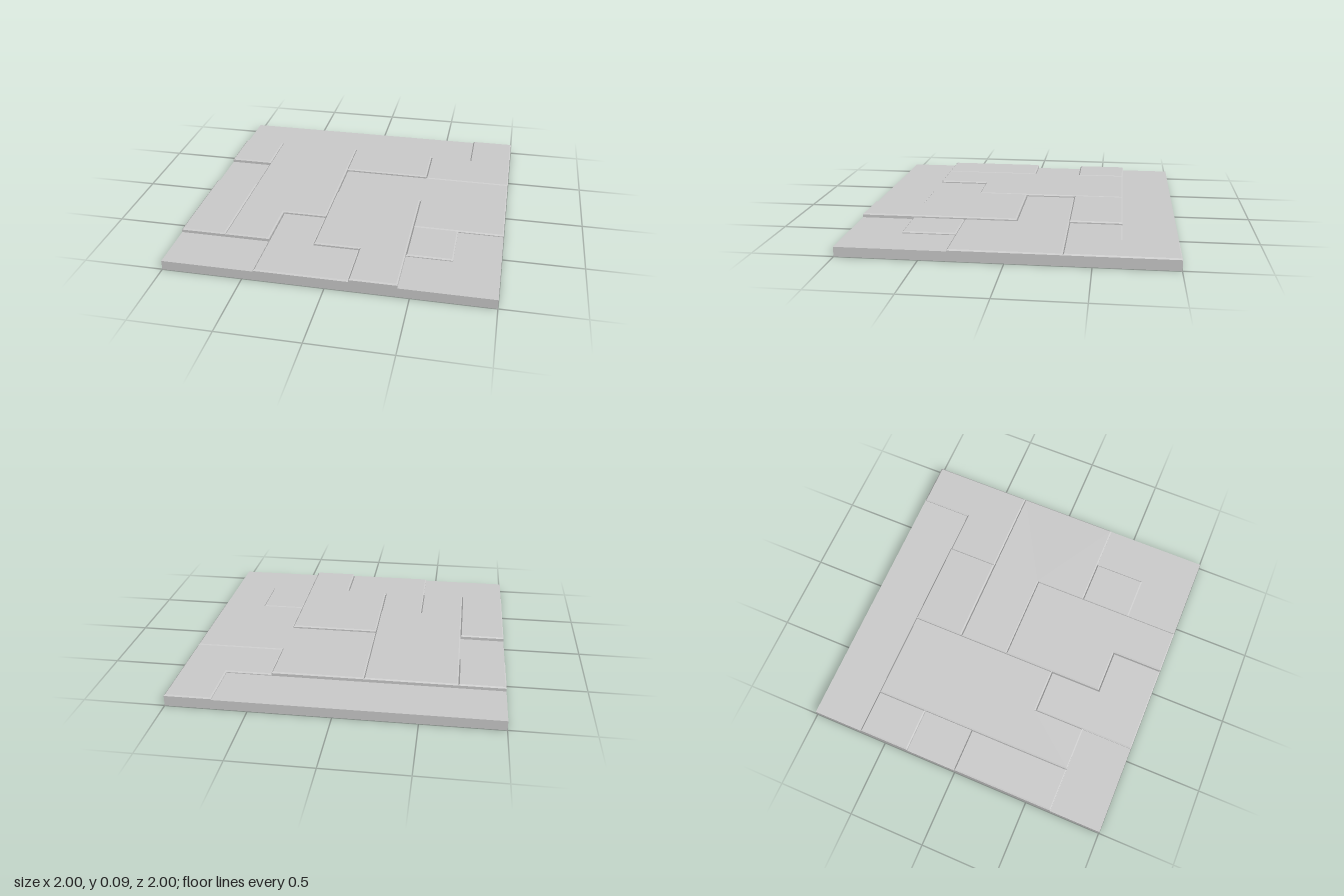
import * as THREE from 'three';

const BASE = 0.06, LOW = 0.073, HIGH = 0.086, BEVEL = 0.008;

// grid of 7 columns and 6 rows over the 2 x 2 slab
const gx = (c) => -1 + (c * 2) / 7;
const gz = (r) => -1 + r / 3;

// raised slabs: name, top height, outline as [column, row] corners
const SLABS = [
  ['backLeftTile', HIGH, [[0, 1], [1, 1], [1, 2], [0, 2]]],
  ['leftTile', HIGH, [[0, 3], [1, 3], [1, 5], [0, 5]]],
  ['largeLeftSlab', HIGH, [[1, 1], [3, 1], [3, 4], [2, 4], [2, 5], [1, 5]]],
  ['backMiddleTile', HIGH, [[3, 1], [5, 1], [5, 2], [3, 2]]],
  ['centreSlab', HIGH, [[3, 3], [5, 3], [5, 6], [4, 6], [4, 5], [3, 5]]],
  ['backRightSlab', LOW, [[5, 1], [6, 1], [6, 0], [7, 0], [7, 2], [5, 2]]],
  ['largeRightSlab', LOW, [[3, 2], [7, 2], [7, 4], [5, 4], [5, 3], [3, 3]]],
  ['frontSlab', LOW, [[2, 4], [3, 4], [3, 5], [4, 5], [4, 6], [2, 6]]],
  ['frontRightTile', LOW, [[5, 4], [6, 4], [6, 5], [5, 5]]],
];

export function createModel() {
  const group = new THREE.Group();
  const material = new THREE.MeshStandardMaterial({ color: 0xcccccc });

  // flat base plate
  const base = new THREE.Mesh(new THREE.BoxGeometry(2, BASE, 2), material);
  base.name = 'basePlate';
  base.position.y = BASE / 2;
  group.add(base);

  // bevelled slabs, their lower ends sunk into the base plate
  const sink = 0.02;
  for (const [name, top, corners] of SLABS) {
    const shape = new THREE.Shape(corners.map(([c, r]) => new THREE.Vector2(gx(c), -gz(r))));
    const depth = top - BASE + sink - 2 * BEVEL;
    const geometry = new THREE.ExtrudeGeometry(shape, {
      depth, bevelEnabled: true, bevelSegments: 1,
      bevelSize: BEVEL, bevelThickness: BEVEL, bevelOffset: -BEVEL,
    });
    geometry.rotateX(-Math.PI / 2);
    geometry.translate(0, top - depth - BEVEL, 0);
    const slab = new THREE.Mesh(geometry, material);
    slab.name = name;
    group.add(slab);
  }
  return group;
}
